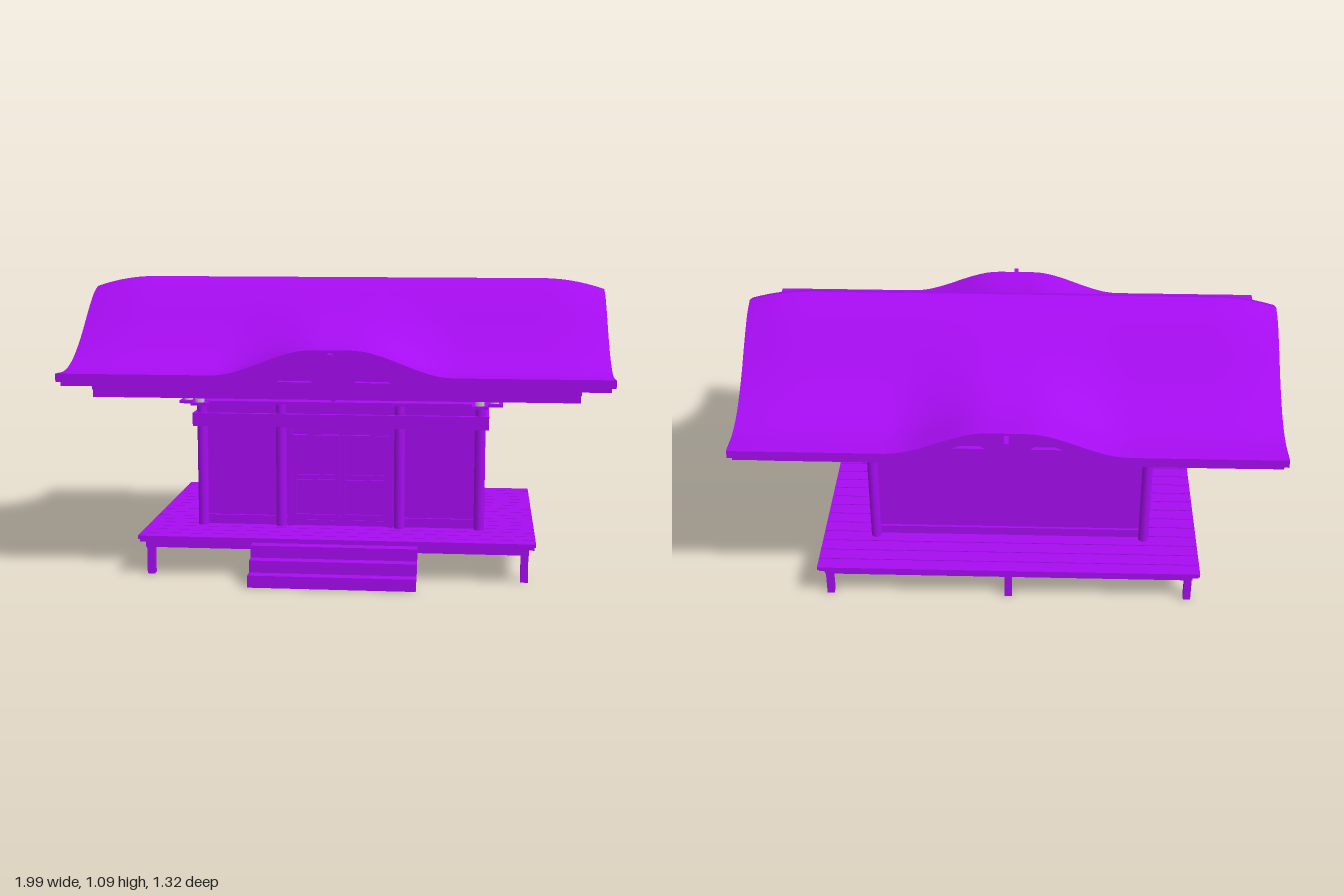
import * as THREE from 'three';
import { toCreasedNormals } from 'three/addons/utils/BufferGeometryUtils.js';

const paint = new THREE.MeshStandardMaterial({ color: 0xa60cf0 });
const grey = new THREE.MeshStandardMaterial({ color: 0xcccccc });
const { smoothstep } = THREE.MathUtils;

// Roof height: sagging slope, raised eave wave at the middle, ridge dipping at the ends
const slope = new THREE.CubicInterpolant(
  [0, 0.06, 0.16, 0.235, 0.305, 0.39, 0.48, 0.61],
  [1.087, 1.062, 0.985, 0.918, 0.863, 0.81, 0.778, 0.772], 1);
function roofY(x, z) {
  const ax = Math.abs(x), az = Math.min(Math.abs(z), 0.61);
  const wave = 0.094 * (1 - smoothstep(ax, 0.07, 0.43)) * smoothstep(az, 0.05, 0.52);
  const dip = 0.042 * Math.max(0, (ax - 0.76) / 0.24) ** 2 * (1 - az / 0.61);
  return slope.evaluate(az)[0] + wave - dip;
}

function add(parent, name, geometry, material = paint) {
  const mesh = new THREE.Mesh(geometry, material);
  mesh.name = name;
  parent.add(mesh);
  return mesh;
}

// Box given by its limits
function block(parent, name, x0, x1, y0, y1, z0, z1) {
  const mesh = add(parent, name, new THREE.BoxGeometry(x1 - x0, y1 - y0, z1 - z0));
  mesh.position.set((x0 + x1) / 2, (y0 + y1) / 2, (z0 + z1) / 2);
  return mesh;
}

// Slab bent to follow the roof, between two vertical offsets
function bentSlab(parent, name, x0, x1, z0, z1, top, bottom, nx, nz) {
  const g = new THREE.BoxGeometry(x1 - x0, 1, z1 - z0, nx, 1, nz);
  g.translate((x0 + x1) / 2, 0, (z0 + z1) / 2);
  const p = g.attributes.position;
  for (let i = 0; i < p.count; i++) {
    p.setY(i, roofY(p.getX(i), p.getZ(i)) + (p.getY(i) > 0 ? top : bottom));
  }
  return add(parent, name, toCreasedNormals(g, 0.35));
}

// Upright board: top edge follows the roof, lower edge is a mirrored half outline from centre outward
function hungBoard(parent, name, lower, topAt, depth) {
  const half = lower[lower.length - 1][0];
  const pts = lower.slice(1).reverse().map(([u, v]) => [-u, v]).concat(lower);
  for (let i = 0; i <= 40; i++) {
    const u = half * (1 - i / 20);
    pts.push([u, topAt(u)]);
  }
  const shape = new THREE.Shape(pts.map(([u, v]) => new THREE.Vector2(u, v)));
  const g = new THREE.ExtrudeGeometry(shape, { depth, bevelEnabled: false });
  g.translate(0, 0, -depth / 2);
  return add(parent, name, g);
}

function buildDeck(g) {
  block(g, 'deckFrame', -0.71, 0.71, 0.105, 0.128, -0.47, 0.47);
  block(g, 'deckEdge', -0.73, 0.73, 0.128, 0.14, -0.485, 0.485);
  const n = 17, w = 0.99 / n;
  for (let i = 0; i < n; i++) {
    const z = -0.495 + i * w;
    block(g, 'deckPlank', -0.735, 0.735, 0.14, 0.153, z + 0.002, z + w - 0.002);
  }
  for (const x of [-0.695, 0, 0.695]) {
    for (const z of [-0.445, 0, 0.445]) {
      block(g, 'deckPost', x - 0.014, x + 0.014, 0, 0.11, z - 0.014, z + 0.014);
    }
  }
  for (let i = 0; i < 3; i++) {
    const z = 0.618 - i * 0.0425;
    block(g, 'step', -0.305, 0.305, i * 0.045, (i + 1) * 0.045, z - 0.0435, z);
  }
}

function buildHall(g) {
  block(g, 'walls', -0.535, 0.535, 0.15, 0.63, -0.258, 0.258);
  block(g, 'sill', -0.54, 0.54, 0.15, 0.188, -0.268, 0.268);
  block(g, 'tieBeam', -0.56, 0.56, 0.538, 0.588, -0.303, 0.303);
  block(g, 'headBeam', -0.545, 0.545, 0.588, 0.625, -0.285, 0.285);
  block(g, 'upperWall', -0.5, 0.5, 0.625, 0.7, -0.23, 0.23);
  // Gable wall closing the space below the roof
  const gable = hungBoard(g, 'gableWall', [[0, 0.7], [0.19, 0.7]], z => roofY(0.5, z) - 0.05, 0.96);
  gable.rotation.y = Math.PI / 2;

  // Columns
  const column = new THREE.CylinderGeometry(0.02, 0.02, 0.475, 16);
  for (const sx of [-1, 1]) {
    for (const [x, z] of [[0.527, 0.277], [0.527, -0.277], [0.225, 0.277]]) {
      add(g, 'column', column).position.set(sx * x, 0.39, z);
    }
  }

  // Double door with rails and sunk panels
  for (const s of [-1, 1]) {
    block(g, 'doorJamb', s * 0.192 - 0.008, s * 0.192 + 0.008, 0.153, 0.54, 0.25, 0.282);
    const door = new THREE.Group();
    door.name = 'door';
    g.add(door);
    block(door, 'doorPanel', -0.09, 0.09, 0.16, 0.505, 0.25, 0.264);
    for (const x of [-0.082, 0.082]) block(door, 'doorStile', x - 0.008, x + 0.008, 0.16, 0.505, 0.25, 0.274);
    for (const y of [0.168, 0.19, 0.325, 0.345, 0.497]) {
      block(door, 'doorRail', -0.08, 0.08, y - 0.007, y + 0.007, 0.25, 0.272);
    }
    door.position.x = s * 0.094;
  }

  // Crossed bracket arms with a pot on each end
  const pot = new THREE.LatheGeometry([[0, 0], [0.016, 0], [0.019, 0.036], [0.023, 0.037], [0.023, 0.046],
    [0.018, 0.046], [0.015, 0.012], [0, 0.012]].map(p => new THREE.Vector2(...p)), 18);
  const potGeometry = toCreasedNormals(pot, 0.6);
  for (const s of [-1, 1]) {
    block(g, 'longArm', -0.61, 0.61, 0.624, 0.635, s * 0.27 - 0.03, s * 0.27 + 0.03);
    block(g, 'crossArm', s * 0.525 - 0.03, s * 0.525 + 0.03, 0.6245, 0.6345, -0.36, 0.36);
    for (const t of [-1, 1]) {
      for (const [x, z] of [[0.58, 0.27], [0.525, 0.33]]) {
        add(g, 'pot', potGeometry, grey).position.set(s * x, 0.634, t * z);
      }
    }
  }
}

function buildRoof(g) {
  bentSlab(g, 'roofCover', -0.995, 0.995, -0.61, 0.61, 0, -0.03, 64, 40);
  bentSlab(g, 'roofUnderlayer', -0.98, 0.98, -0.598, 0.598, -0.028, -0.046, 64, 40);

  // Rafters on both slopes, with a purlin beneath
  for (const s of [-1, 1]) {
    const [z0, z1] = s > 0 ? [0.12, 0.53] : [-0.53, -0.12];
    for (let i = -21; i <= 21; i++) {
      const x = i * 0.04;
      bentSlab(g, 'rafter', x - 0.009, x + 0.009, z0, z1, -0.044, -0.066, 1, 10);
    }
    const zp = s * 0.37;
    bentSlab(g, 'purlin', -0.87, 0.87, zp - 0.015, zp + 0.015, -0.06, -0.09, 48, 1);

    // Eave board with a raised, cusped middle
    const eave = [[0, 0.67], [0.03, 0.692], [0.06, 0.728], [0.09, 0.752], [0.12, 0.77], [0.16, 0.762],
      [0.22, 0.735], [0.28, 0.702], [0.33, 0.685], [0.39, 0.678], [0.88, 0.678]];
    hungBoard(g, 'eaveBoard', eave, x => roofY(x, 0.51) - 0.044, 0.038).position.z = s * 0.512;

    // Scalloped gable board
    const scallop = [[0, 0.76], [0.025, 0.765], [0.045, 0.8], [0.065, 0.815], [0.1, 0.805], [0.135, 0.785],
      [0.19, 0.75], [0.24, 0.725], [0.28, 0.708], [0.3, 0.718], [0.34, 0.715], [0.4, 0.698],
      [0.47, 0.692], [0.53, 0.705]];
    const gable = hungBoard(g, 'gableBoard', scallop, z => roofY(0.88, z) - 0.04, 0.03);
    gable.rotation.y = Math.PI / 2;
    gable.position.x = s * 0.868;

    // Small peg on the crown of each eave wave
    block(g, 'eavePeg', -0.008, 0.008, 0.842, 0.856, s > 0 ? 0.58 : -0.66, s > 0 ? 0.66 : -0.58);
  }
}

export function createModel() {
  const model = new THREE.Group();
  model.name = 'shrineHall';
  for (const [name, build] of [['deck', buildDeck], ['hall', buildHall], ['roof', buildRoof]]) {
    const part = new THREE.Group();
    part.name = name;
    build(part);
    model.add(part);
  }
  return model;
}
